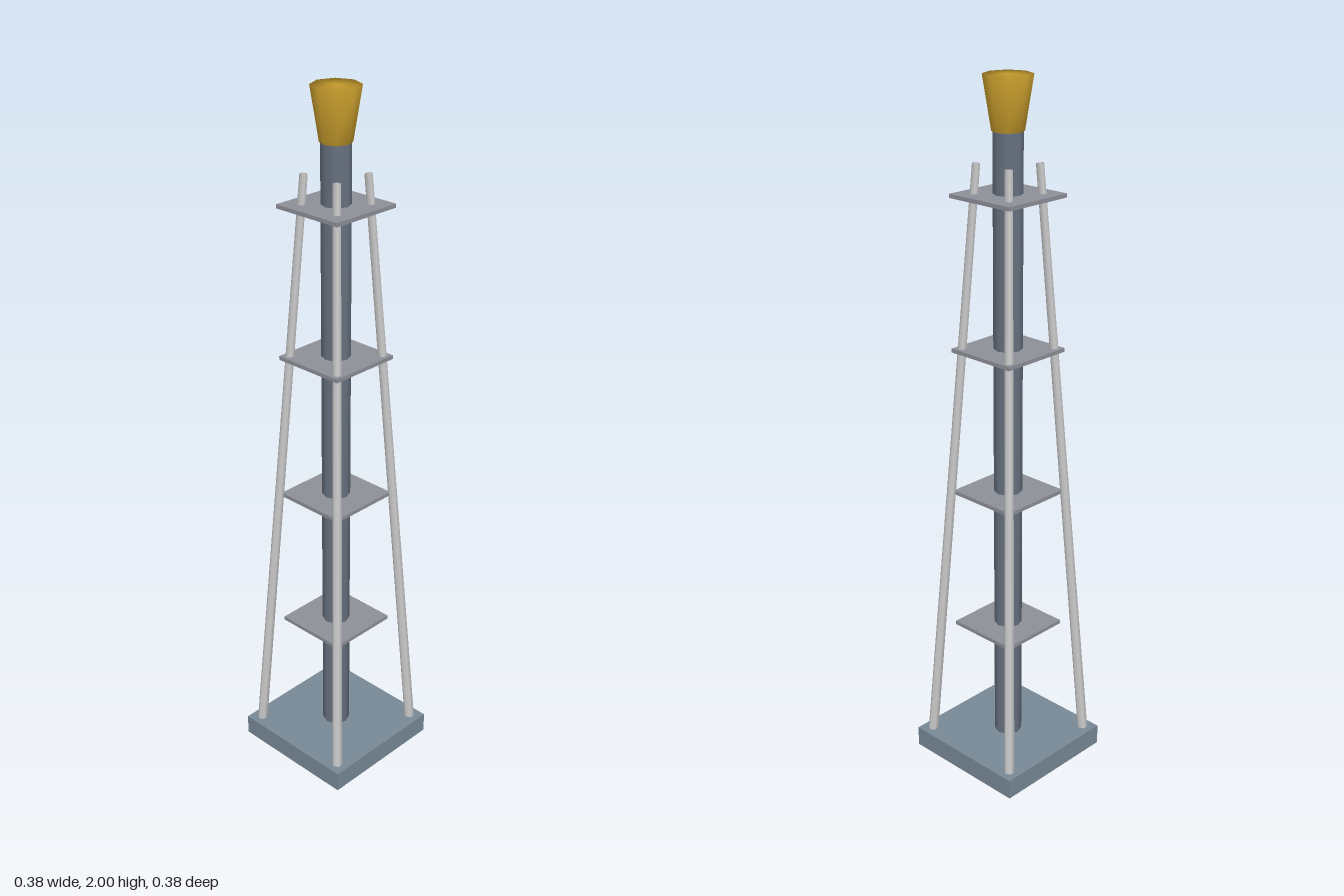
import * as THREE from 'three';
import { mergeVertices } from 'three/addons/utils/BufferGeometryUtils.js';

const material = (color) => new THREE.MeshStandardMaterial({ color });

// Low-sided cylinder whose normals run smoothly over sides and caps
function smoothCylinder(rTop, rBottom, height, sides) {
  const raw = new THREE.CylinderGeometry(rTop, rBottom, height, sides);
  raw.deleteAttribute('normal');
  raw.deleteAttribute('uv');
  const geometry = mergeVertices(raw, 1e-5);
  geometry.computeVertexNormals();
  return geometry;
}

export function createModel() {
  const model = new THREE.Group();
  model.name = 'tower';

  const add = (name, geometry, mat, y) => {
    const mesh = new THREE.Mesh(geometry, mat);
    mesh.name = name;
    mesh.position.y = y;
    model.add(mesh);
    return mesh;
  };

  // Square foundation
  add('base', new THREE.BoxGeometry(0.385, 0.06, 0.385), material(0x778896), 0.03);

  // Central column and flared cup on top
  add('column', smoothCylinder(0.04, 0.04, 1.82, 8), material(0x66717f), 0.95);
  add('cup', smoothCylinder(0.066, 0.043, 0.143, 8), material(0xc49a2c), 1.9285);

  // Evenly spaced square platforms
  const platformGeometry = new THREE.BoxGeometry(0.216, 0.011, 0.216);
  const platformMaterial = material(0x8d8f98);
  for (let i = 0; i < 4; i++) {
    add(`platform${i + 1}`, platformGeometry, platformMaterial, 0.425 + i * 0.422);
  }

  // Four tapered legs leaning in towards the column
  const legMaterial = material(0xcccccc);
  const up = new THREE.Vector3(0, 1, 0);
  for (const sx of [-1, 1]) {
    for (const sz of [-1, 1]) {
      const foot = new THREE.Vector3(sx * 0.161, 0.04, sz * 0.161);
      const tip = new THREE.Vector3(sx * 0.058, 1.775, sz * 0.058);
      const axis = tip.clone().sub(foot);
      const name = `${sz > 0 ? 'front' : 'back'}${sx > 0 ? 'Left' : 'Right'}Leg`;
      const leg = add(name, smoothCylinder(0.011, 0.015, axis.length(), 6), legMaterial, 0);
      leg.position.copy(foot).add(tip).multiplyScalar(0.5);
      leg.quaternion.setFromUnitVectors(up, axis.normalize());
    }
  }

  return model;
}
